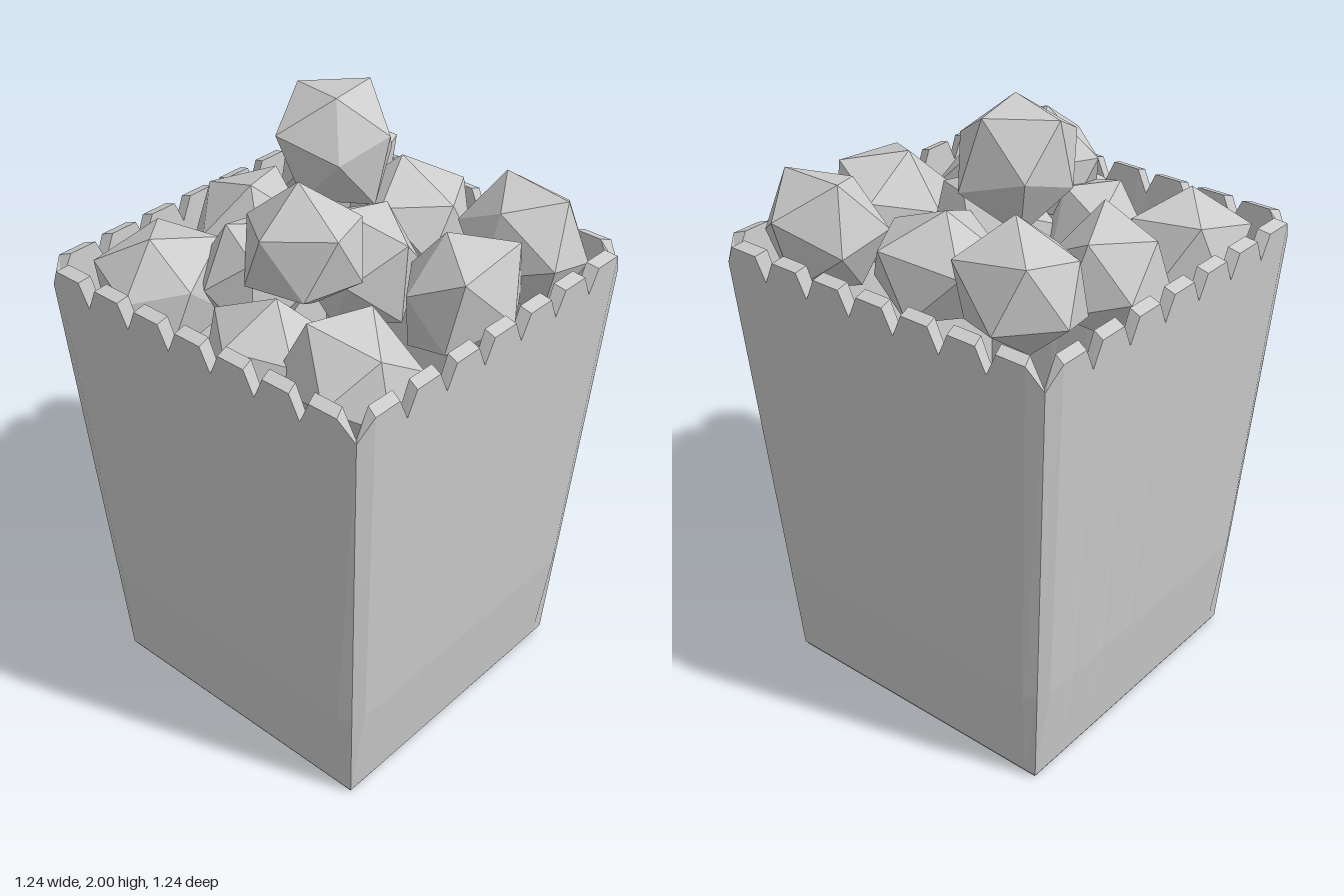
import * as THREE from 'three';

const material = new THREE.MeshStandardMaterial({ color: 0xcccccc, flatShading: true });

// One bulged, tapered wall facing +z: outer face, toothed rim and inner face as a single strip grid
function wallGeometry() {
  const columns = [[-0.598, 1.47], [-0.55, 1.54]]; // [position along wall, rim height]
  for (let i = 0; i < 6; i++) {
    const c = (i - 2.5) / 6;
    columns.push([c - 0.035, 1.54], [c, 1.465], [c + 0.035, 1.54]);
  }
  columns.push([0.55, 1.54], [0.598, 1.47]);

  const rows = 5, positions = [], index = [];
  columns.forEach(([u, rim], i) => {
    const atCorner = i === 0 || i === columns.length - 1;
    const bulge = atCorner ? 0 : 0.022 + (i % 3 === 0 ? -0.003 : 0);
    const outer = (y, amount) => {
      const half = 0.505 + 0.093 * Math.min(1, y / 1.47);
      positions.push(u * half / 0.598, y, half + bulge * amount);
    };
    outer(0.01, 0);
    outer(0.35, 0.75);
    outer(rim, 1);
    const inner = 0.582;
    positions.push(u * inner / 0.598, rim + (atCorner ? 0 : 0.012), inner);
    positions.push(u * 0.48 / 0.598, 0.03, 0.48);
  });
  for (let i = 0; i < columns.length - 1; i++) {
    for (let j = 0; j < rows - 1; j++) {
      const a = i * rows + j, b = a + rows;
      index.push(a, b, b + 1, a, b + 1, a + 1);
    }
  }
  const indexed = new THREE.BufferGeometry();
  indexed.setAttribute('position', new THREE.Float32BufferAttribute(positions, 3));
  indexed.setIndex(index);
  const geometry = indexed.toNonIndexed();
  geometry.computeVertexNormals();
  return geometry;
}

// Irregular faceted lump, fitted to the given size
function kernelGeometry(seed, size) {
  const geometry = new THREE.IcosahedronGeometry(1, 0);
  const p = geometry.attributes.position;
  const v = new THREE.Vector3();
  for (let i = 0; i < p.count; i++) {
    v.fromBufferAttribute(p, i);
    v.multiplyScalar(1 + 0.1 * Math.sin(v.x * 7 + v.y * 11 + v.z * 5 + seed * 2.3));
    p.setXYZ(i, v.x, v.y, v.z);
  }
  geometry.rotateX(seed * 1.7);
  geometry.rotateY(seed * 2.9);
  geometry.rotateZ(seed * 0.8);
  geometry.center();
  geometry.boundingBox.getSize(v);
  geometry.scale(size[0] / v.x, size[1] / v.y, size[2] / v.z);
  geometry.computeVertexNormals();
  return geometry;
}

export function createModel() {
  const model = new THREE.Group();
  const add = (parent, name, geometry) => {
    const mesh = new THREE.Mesh(geometry, material);
    mesh.name = name;
    parent.add(mesh);
    return mesh;
  };

  // Bucket: four identical walls and a floor
  const bucket = new THREE.Group();
  bucket.name = 'bucket';
  model.add(bucket);
  const wall = wallGeometry();
  ['frontWall', 'leftWall', 'backWall', 'rightWall'].forEach((name, i) => {
    add(bucket, name, wall).rotation.y = i * Math.PI / 2;
  });
  add(bucket, 'floor', new THREE.BoxGeometry(1.0, 0.035, 1.0)).position.y = 0.0175;

  // Popped kernels: [x, y, z, width, height, depth]
  const kernels = new THREE.Group();
  kernels.name = 'kernels';
  model.add(kernels);
  [
    [-0.34, 1.60, -0.36, 0.38, 0.38, 0.36],
    [0.00, 1.54, -0.33, 0.37, 0.38, 0.35],
    [0.385, 1.56, -0.405, 0.39, 0.38, 0.35],
    [-0.365, 1.51, -0.01, 0.33, 0.37, 0.38],
    [-0.115, 1.82, -0.12, 0.34, 0.36, 0.36],
    [0.395, 1.53, -0.095, 0.37, 0.38, 0.37],
    [0.06, 1.53, -0.05, 0.35, 0.38, 0.34],
    [0.045, 1.68, 0.19, 0.37, 0.37, 0.34],
    [-0.16, 1.49, 0.20, 0.35, 0.36, 0.34],
    [-0.385, 1.45, 0.36, 0.35, 0.37, 0.38],
    [0.08, 1.42, 0.40, 0.36, 0.37, 0.36],
    [0.355, 1.45, 0.34, 0.37, 0.37, 0.38],
  ].forEach(([x, y, z, ...size], i) => {
    add(kernels, 'kernel' + (i + 1), kernelGeometry(i + 1, size)).position.set(x, y, z);
  });

  return model;
}
